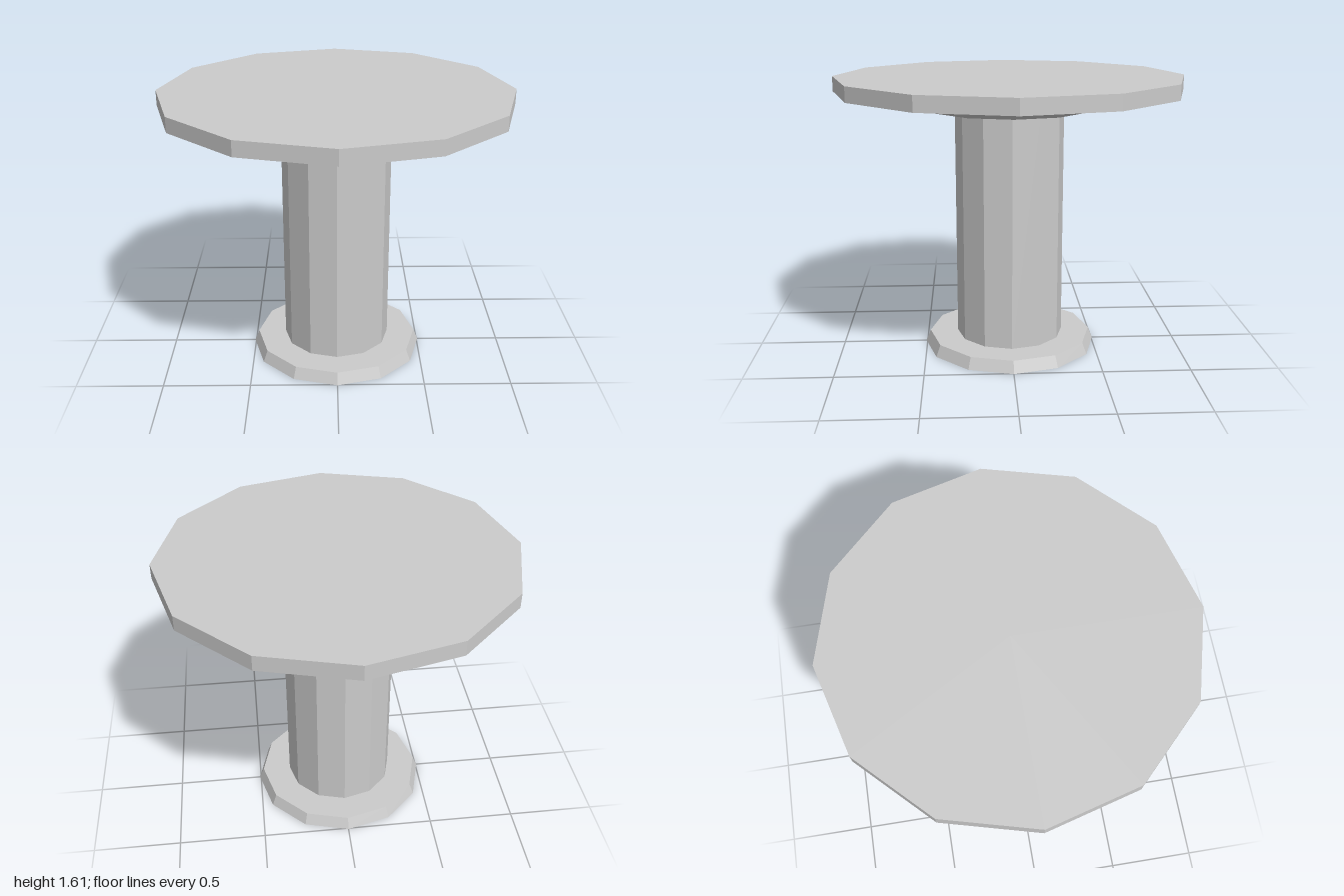
import * as THREE from 'three';

const SIDES = 12;

export function createModel() {
  const group = new THREE.Group();
  const material = new THREE.MeshStandardMaterial({ color: 0xcccccc, flatShading: true });

  // Twelve-sided section standing between two heights
  function addSection(name, radiusTop, radiusBottom, y0, y1) {
    const geometry = new THREE.CylinderGeometry(radiusTop, radiusBottom, y1 - y0, SIDES);
    const mesh = new THREE.Mesh(geometry, material);
    mesh.name = name;
    mesh.position.y = (y0 + y1) / 2;
    group.add(mesh);
  }

  addSection('base', 0.48, 0.507, 0, 0.068);
  addSection('column', 0.314, 0.314, 0.068, 1.425);
  addSection('collar', 0.66, 0.487, 1.425, 1.52);
  addSection('tableTop', 1, 1, 1.52, 1.605);

  return group;
}
